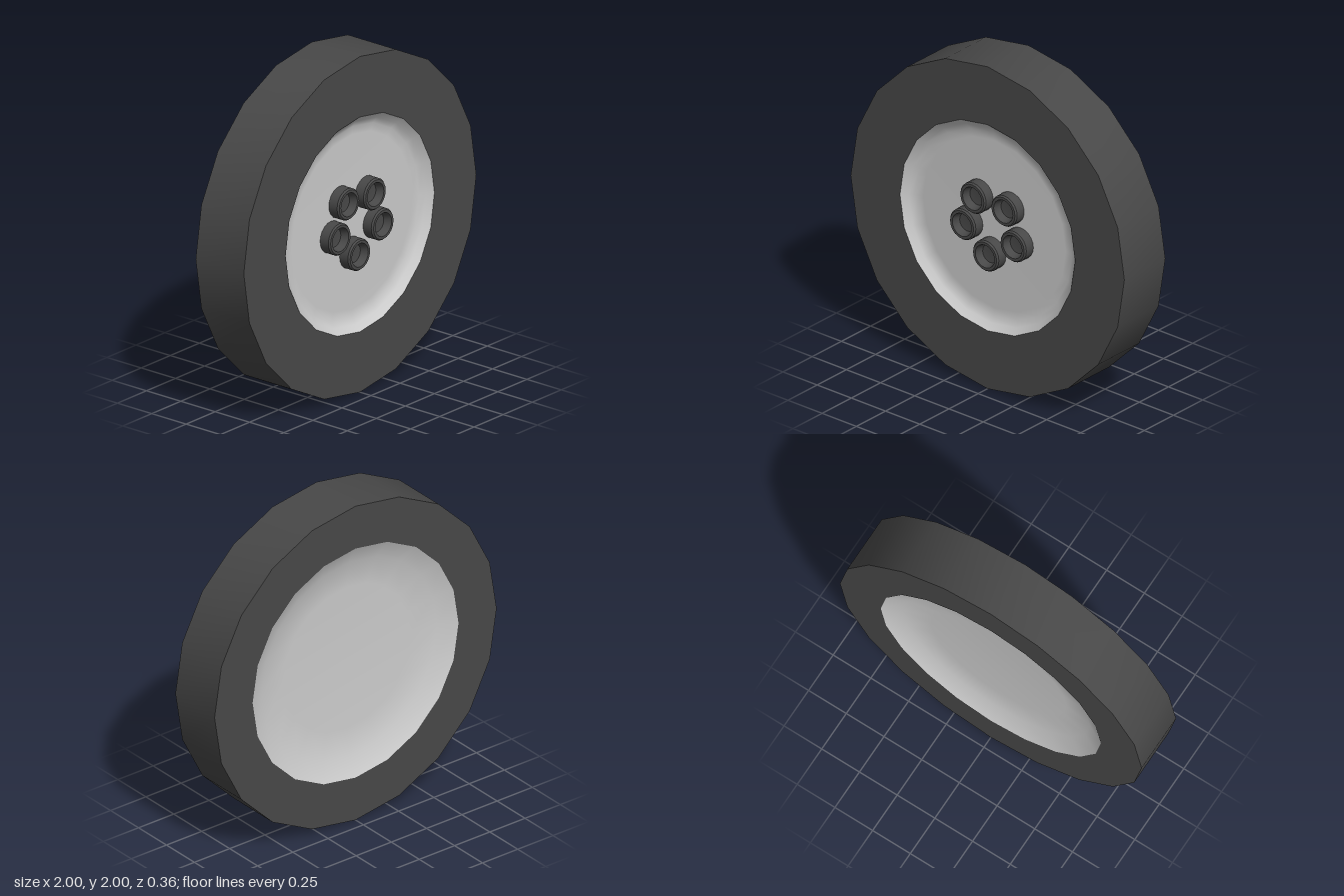
import * as THREE from 'three';
import { toCreasedNormals } from 'three/addons/utils/BufferGeometryUtils.js';

const rubber = new THREE.MeshStandardMaterial({ color: 0x484848 });
const metal = new THREE.MeshStandardMaterial({ color: 0xcccccc });

// Revolve [radius, z] points around the z axis; points run from back to front.
function revolve(profile, sides, crease) {
  const points = profile.map(([r, z]) => new THREE.Vector2(r, z));
  const geometry = new THREE.LatheGeometry(points, sides).rotateX(Math.PI / 2);
  return crease ? toCreasedNormals(geometry, crease) : geometry;
}

function addPart(parent, name, geometry, material) {
  const mesh = new THREE.Mesh(geometry, material);
  mesh.name = name;
  parent.add(mesh);
  return mesh;
}

export function createModel() {
  const wheel = new THREE.Group();
  wheel.name = 'wheel';
  const sides = 20;

  // Flat-walled tyre
  addPart(wheel, 'tire', revolve([[0.73, -0.18], [1, -0.18], [1, 0.17], [0.64, 0.17]], sides, 0.6), rubber);

  // Front dish with a rounded lip
  addPart(wheel, 'frontHub', revolve(
    [[0.64, 0.17], [0.605, 0.135], [0.57, 0.115], [0.52, 0.11], [0, 0.11]], sides), metal);

  // Wider, softer dish on the back
  addPart(wheel, 'backHub', revolve(
    [[0, -0.1], [0.45, -0.1], [0.62, -0.125], [0.73, -0.18]], sides), metal);

  // Five hollow lug nuts in a ring
  const lugGeometry = revolve(
    [[0.094, 0.1], [0.094, 0.17], [0.086, 0.18], [0.07, 0.18], [0.055, 0.135], [0, 0.13]], 20, 0.6);
  const lugs = new THREE.Group();
  lugs.name = 'lugNuts';
  const centres = [[-0.104, 0.15], [0.123, 0.144], [0.19, -0.055], [-0.011, -0.178], [-0.179, -0.037]];
  for (const [x, y] of centres) {
    addPart(lugs, 'lugNut', lugGeometry, rubber).position.set(x, y, 0);
  }
  wheel.add(lugs);

  wheel.position.y = 1;
  const model = new THREE.Group();
  model.add(wheel);
  return model;
}
